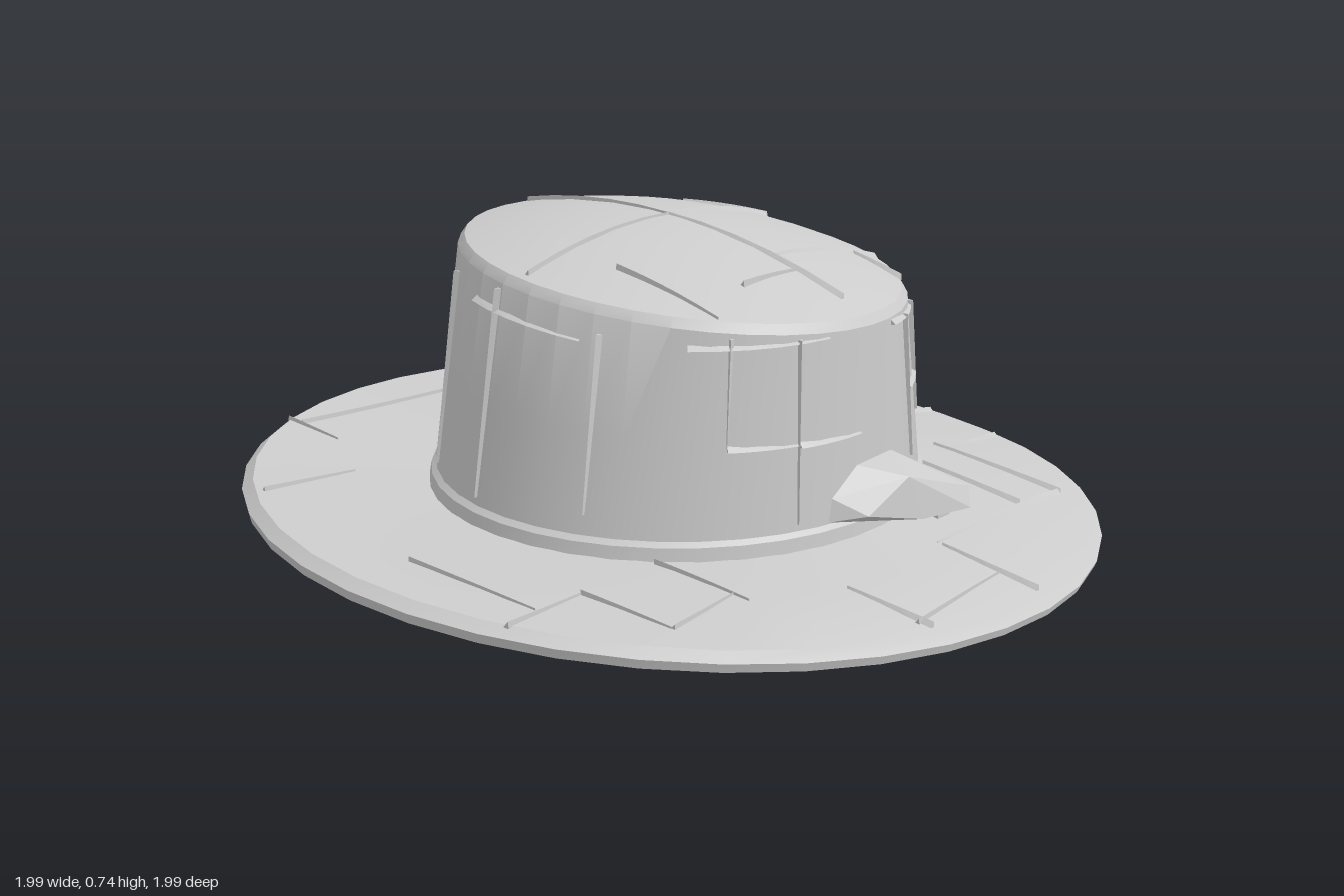
import * as THREE from 'three';
import { mergeGeometries, toCreasedNormals } from 'three/addons/utils/BufferGeometryUtils.js';
import { ConvexGeometry } from 'three/addons/geometries/ConvexGeometry.js';

const N = 40;
const lerp = THREE.MathUtils.lerp;
const rad = THREE.MathUtils.degToRad;
const V = (x, y, z) => new THREE.Vector3(x, y, z);

// Skin a list of rings; each ring is a function angle -> Vector3.
function loft(rings, crease = 0.5) {
  const pos = [], index = [];
  rings.forEach((ring) => {
    for (let j = 0; j < N; j++) pos.push(...ring((j / N) * Math.PI * 2).toArray());
  });
  for (let i = 0; i < rings.length - 1; i++) {
    for (let j = 0; j < N; j++) {
      const k = (j + 1) % N, a = i * N + j, b = a + N, c = i * N + k, d = c + N;
      index.push(a, b, c, c, b, d);
    }
  }
  const g = new THREE.BufferGeometry();
  g.setAttribute('position', new THREE.Float32BufferAttribute(pos, 3));
  g.setIndex(index);
  return toCreasedNormals(g, crease);
}

// Brim: level at the crown, tipped down to the front and left at the edge.
const edgeTop = (a) => Math.max(0.04, 0.1 - 0.05 * (Math.cos(a) + Math.sin(a)));
const edgeBottom = (a) => Math.max(0, 0.045 - 0.042 * (Math.cos(a) + Math.sin(a)));
const brimRing = (r, y) => (a) => V(r * Math.cos(a), y(a), r * Math.sin(a));
const brimTop = (x, z) => {
  const a = Math.atan2(z, x);
  return V(x, lerp(0.125, edgeTop(a), (Math.hypot(x, z) - 0.55) / 0.42), z);
};

// Crown: tapering wall under a rim that rises to the back, with a low dome.
const rimY = (x, z) => 0.64 - 0.04 * x - 0.12 * z;
const BASE = 0.1;
function wall(a, t, inset = 0) {
  const x = lerp(-0.01, -0.015, t) + (lerp(0.585, 0.497, t) - inset) * Math.cos(a);
  const z = lerp(0.02, 0.04, t) + (lerp(0.56, 0.512, t) - inset) * Math.sin(a);
  return V(x, lerp(BASE, rimY(x, z), t), z);
}
function dome(x, z) {
  const q = ((x + 0.015) / 0.497) ** 2 + ((z - 0.04) / 0.512) ** 2;
  return V(x, rimY(x, z) + 0.087 * (1 - q), z);
}
const domeRing = (s, drop = 0) => (a) => {
  const p = dome(-0.015 + 0.497 * s * Math.cos(a), 0.04 + 0.512 * s * Math.sin(a));
  p.y -= drop;
  return p;
};

// Thin tapering raised seam that follows a surface between two parameter pairs.
function seams(list, surface, normal) {
  const parts = [];
  for (const [u0, v0, u1, v1] of list) {
    const steps = 5, sections = [];
    const at = (t) => surface(lerp(u0, u1, t), lerp(v0, v1, t));
    for (let i = 0; i <= steps; i++) {
      const t = i / steps, p = at(t), n = normal(p);
      const dir = at(t + 0.01).sub(at(t - 0.01)).normalize();
      const side = dir.cross(n).normalize(), w = lerp(0.007, 0.002, t);
      sections.push([
        p.clone().addScaledVector(side, w).addScaledVector(n, -0.004),
        p.clone().addScaledVector(side, -w).addScaledVector(n, -0.004),
        p.clone().addScaledVector(side, w * 0.8).addScaledVector(n, lerp(0.011, 0.005, t)),
      ]);
    }
    for (let i = 0; i < steps; i++) parts.push(new ConvexGeometry([...sections[i], ...sections[i + 1]]));
  }
  return mergeGeometries(parts);
}

export function createModel() {
  const hat = new THREE.Group();
  hat.name = 'hat';
  const smooth = new THREE.MeshStandardMaterial({ color: 0xcccccc });
  const flat = new THREE.MeshStandardMaterial({ color: 0xcccccc, flatShading: true });
  const add = (name, geometry, material = smooth) => {
    const mesh = new THREE.Mesh(geometry, material);
    mesh.name = name;
    hat.add(mesh);
  };

  // Brim as a closed ring with a bevelled edge
  add('brim', loft([
    brimRing(0.55, () => 0.06),
    brimRing(0.95, edgeBottom),
    brimRing(0.99, (a) => lerp(edgeBottom(a), edgeTop(a), 0.35)),
    brimRing(0.995, (a) => lerp(edgeBottom(a), edgeTop(a), 0.7)),
    brimRing(0.97, edgeTop),
    brimRing(0.76, (a) => lerp(0.125, edgeTop(a), 0.5)),
    brimRing(0.54, () => 0.125),
    brimRing(0.55, () => 0.06),
  ]));

  // Crown wall, shoulder and dome
  add('crown', loft([
    (a) => wall(a, 0), (a) => wall(a, 0.5), (a) => wall(a, 0.97),
    domeRing(0.975), domeRing(0.85), domeRing(0.65), domeRing(0.4), domeRing(0.18), domeRing(0),
  ]));

  // Narrow band where the crown meets the brim
  const bandRing = (t, out) => (a) => wall(a, t, -out);
  add('band', loft([bandRing(0, 0.012), bandRing(0.1, 0.01), bandRing(0.125, -0.003)], 0.3));

  // Hollow inside, ceiling first and then down the wall
  add('lining', loft([
    domeRing(0, 0.05), domeRing(0.5, 0.05), domeRing(0.89, 0.05),
    (a) => wall(a, 0.5, 0.045),
    brimRing(0.55, () => 0.06),
  ]));

  // Faceted knots at the front and back of the band
  add('frontKnot', new ConvexGeometry([
    V(-0.18, 0.17, 0.57), V(-0.17, 0.22, 0.57), V(-0.08, 0.27, 0.57), V(0.05, 0.27, 0.57),
    V(0.19, 0.2, 0.56), V(0.18, 0.12, 0.58), V(-0.02, 0.13, 0.58),
    V(-0.12, 0.18, 0.63), V(0.0, 0.24, 0.65), V(0.2, 0.17, 0.68), V(0.18, 0.13, 0.7), V(0.03, 0.14, 0.67),
  ]), flat);
  const tail = new THREE.BoxGeometry(0.05, 0.07, 0.05);
  tail.translate(0.16, 0.11, 0.62);
  add('frontKnotTail', tail, flat);
  add('backKnot', new ConvexGeometry([
    V(-0.21, 0.18, -0.52), V(0.13, 0.18, -0.52), V(-0.12, 0.29, -0.51), V(0.06, 0.29, -0.51),
    V(-0.06, 0.26, -0.6), V(0.06, 0.25, -0.61), V(0.08, 0.19, -0.62), V(-0.06, 0.18, -0.62), V(0.0, 0.16, -0.55),
  ]), flat);

  // Patchwork seams on the brim, as x, z to x, z
  add('brimSeams', seams([
    [-0.45, -0.82, 0.48, -0.8], [-0.45, -0.86, -0.45, -0.68], [0.49, -0.83, 0.49, -0.45],
    [0.68, -0.66, 0.5, -0.64], [0.68, -0.66, 0.68, -0.42], [0.58, -0.42, 0.57, 0.11],
    [0.95, 0.13, 0.57, 0.11], [0.86, -0.36, 0.88, 0.1], [0.85, -0.35, 0.71, -0.35],
    [0.58, 0.71, 0.58, 0.36], [0.58, 0.71, 0.03, 0.71], [0.4, 0.7, 0.4, 0.42],
    [0.88, 0.37, 0.58, 0.4], [0.03, 0.95, 0.03, 0.72], [-0.3, 0.9, -0.3, 0.7],
    [-0.31, 0.87, 0.03, 0.86], [-0.7, 0.35, -0.69, 0.57], [-0.69, 0.57, -0.49, 0.56],
    [-0.91, 0.35, -0.7, 0.35], [-0.49, 0.36, -0.49, 0.6], [-0.83, 0, -0.82, 0.34],
    [-0.81, -0.5, -0.56, -0.49], [0.02, -0.8, 0.02, -0.63], [0.33, -0.76, 0.33, -0.5],
  ], brimTop, () => V(0, 1, 0)), flat);

  // Seams on the dome, as x, z to x, z
  add('domeSeams', seams([
    [-0.02, -0.44, -0.02, 0.0], [-0.02, 0.48, -0.02, 0.0], [-0.48, 0, -0.02, 0], [0.38, -0.02, -0.02, 0],
    [0.38, -0.02, 0.3, -0.22], [-0.35, 0.14, -0.34, 0.4], [0.4, 0.29, -0.02, 0.29],
    [0.3, 0.42, 0.3, 0.29], [-0.2, 0.35, -0.02, 0.36],
  ], dome, () => V(0, 1, 0)), flat);

  // Seams on the wall, as degrees, height fraction to degrees, height fraction
  const outward = (p) => V(p.x + 0.012, 0, p.z - 0.03).normalize();
  add('wallSeams', seams([
    [113, 0.95, 113, 0.15], [130, 0.95, 130, 0.5], [70, 0.95, 70, 0.25], [57, 0.95, 57, 0.4],
    [20, 0.15, 20, 0.4], [-17, 0.95, -17, 0.15], [-34, 0.95, -34, 0.3], [160, 0.9, 160, 0.2],
    [190, 0.95, 190, 0.15], [215, 0.9, 215, 0.15], [240, 0.95, 240, 0.2], [262, 0.5, 262, 0.15],
    [285, 0.95, 285, 0.15], [305, 0.9, 305, 0.3], [113, 0.5, 95, 0.5], [130, 0.5, 113, 0.5],
    [70, 0.6, 50, 0.6], [-17, 0.42, -45, 0.42], [262, 0.5, 285, 0.5], [140, 0.9, 105, 0.95],
    [80, 0.95, 55, 0.93], [30, 0.86, -10, 0.84], [-20, 0.88, -60, 0.88], [200, 0.87, 165, 0.86],
  ], (deg, t) => wall(rad(deg), t), outward), flat);

  return hat;
}
